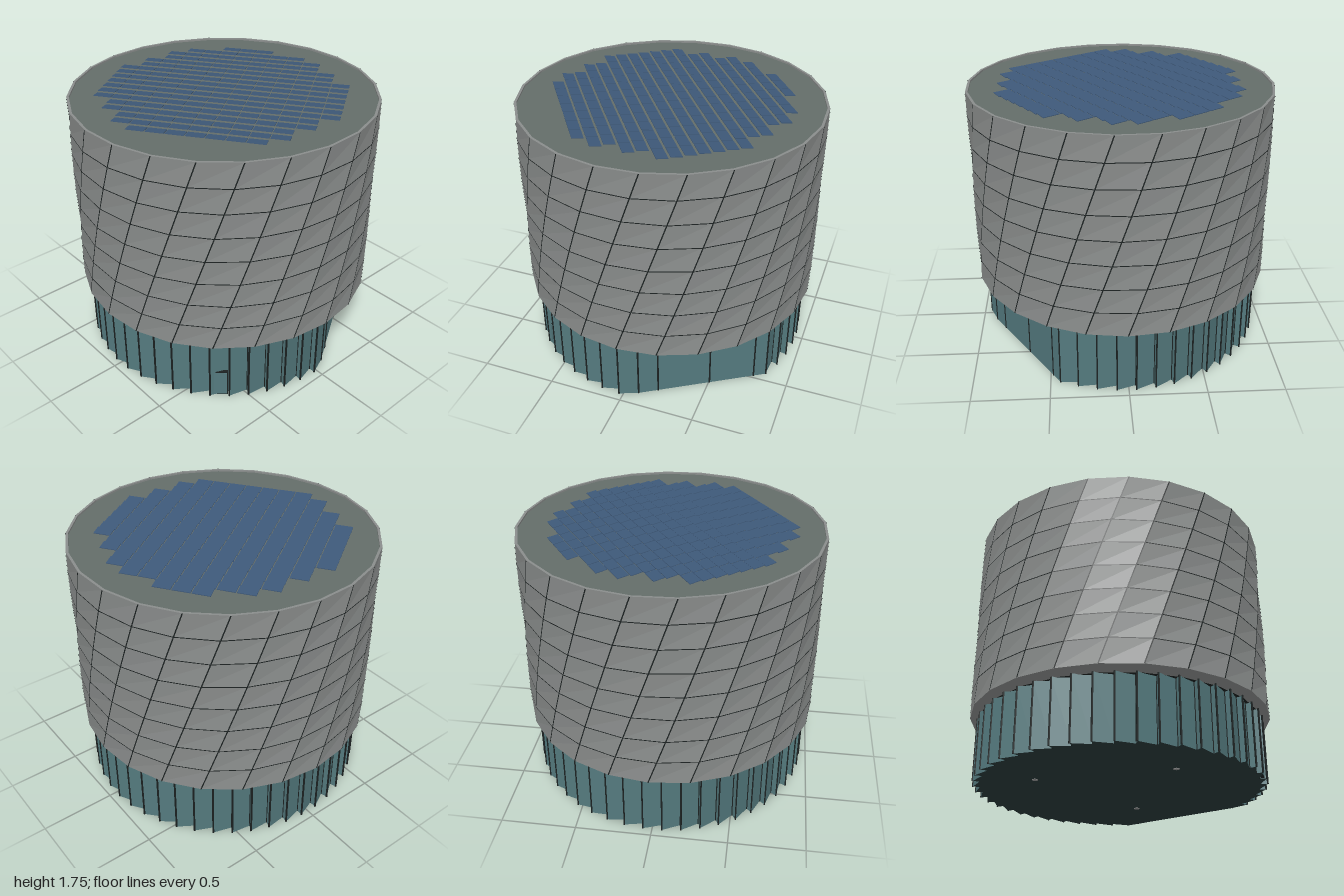
import * as THREE from 'three';

const SIDES = 24, ROWS = 8, Y0 = 0.445, Y1 = 1.745;
const TWIST = THREE.MathUtils.degToRad(25.4);
const START = THREE.MathUtils.degToRad(-0.6);
const STEP = (Math.PI * 2) / SIDES;

const paint = (color, side = THREE.FrontSide) =>
  new THREE.MeshStandardMaterial({ color, side, flatShading: true });

// Point at angle a (measured from the front, +z, towards +x)
const polar = (a, r, y) => [Math.sin(a) * r, y, Math.cos(a) * r];

// Ring of the drum at row j: every row is turned a little further
function drumRing(j, r, dy = 0) {
  const y = Y0 + ((Y1 - Y0) * j) / ROWS + dy;
  const turn = START + (TWIST * j) / ROWS;
  return Array.from({ length: SIDES + 1 }, (_, i) => polar(turn + i * STEP, r, y));
}

// Flat-faced skin through a list of equal-length cross-sections
function loft(rings) {
  const pos = [];
  for (let j = 0; j < rings.length - 1; j++) {
    const lo = rings[j], hi = rings[j + 1];
    for (let i = 0; i < lo.length - 1; i++) {
      pos.push(...lo[i], ...lo[i + 1], ...hi[i + 1], ...lo[i], ...hi[i + 1], ...hi[i]);
    }
  }
  const g = new THREE.BufferGeometry();
  g.setAttribute('position', new THREE.Float32BufferAttribute(pos, 3));
  g.computeVertexNormals();
  return g;
}

export function createModel() {
  const model = new THREE.Group();
  model.name = 'roundBuilding';
  const wall = paint(0x8a8d8c), dark = paint(0x1c2222, THREE.DoubleSide);
  const roofMat = paint(0x646d69), solar = paint(0x3d5878);
  const glass = paint(0x547a7e), floorMat = paint(0x2a3a3b), spot = paint(0x999999);

  const add = (name, geometry, material, parent = model) => {
    const mesh = new THREE.Mesh(geometry, material);
    mesh.name = name;
    parent.add(mesh);
    return mesh;
  };
  const group = (name) => {
    const g = new THREE.Group();
    g.name = name;
    model.add(g);
    return g;
  };

  // Twisted faceted drum
  const rows = Array.from({ length: ROWS + 1 }, (_, j) => drumRing(j, 0.999));
  add('drumWall', loft(rows), wall);

  // Parapet top, its inner face, and the roof deck
  const deck = drumRing(ROWS, 0.983, -0.012);
  add('parapet', loft([rows[ROWS], drumRing(ROWS, 0.983), deck]), wall);
  add('roof', loft([deck, deck.map(() => [0, Y1 - 0.012, 0])]), roofMat);

  // Bevelled underside
  const sill = drumRing(0, 0.94, -0.03);
  add('drumBevel', loft([sill, rows[0]]), wall);
  add('soffit', loft([sill.map(() => [0, Y0 - 0.03, 0]), sill]), dark);

  // Slanted and level panel joints
  const joints = group('panelJoints');
  for (let i = 0; i < SIDES; i++) {
    const strip = rows.map((ring, j) => {
      const a = START + (TWIST * j) / ROWS + i * STEP;
      return [polar(a - 0.004, 1.001, ring[0][1]), polar(a + 0.004, 1.001, ring[0][1])];
    });
    add('slantedJoint', loft(strip), dark, joints);
  }
  for (let j = 1; j < ROWS; j++) {
    add('levelJoint', loft([drumRing(j, 1.001, -0.003), drumRing(j, 1.001, 0.003)]), dark, joints);
  }

  // Pleated glass base with one straight facade at the back right
  const A = THREE.MathUtils.degToRad(152.6), B = THREE.MathUtils.degToRad(456);
  const PLEATS = 40, BASE_H = 0.42;
  const outline = [];
  for (let k = 0; k < PLEATS; k++) {
    const a0 = A + ((B - A) * k) / PLEATS, a1 = A + ((B - A) * (k + 1)) / PLEATS;
    outline.push(polar(a0, 0.95, 0), polar(a1, 0.905, 0));
  }
  const shape = new THREE.Shape(outline.map(([x, , z]) => new THREE.Vector2(x, -z)));
  const baseGeo = new THREE.ExtrudeGeometry(shape, { depth: BASE_H, bevelEnabled: false });
  baseGeo.rotateX(-Math.PI / 2);
  add('glassBase', baseGeo, [floorMat, glass]);

  // Mullions on the pleats and along the straight facade
  const mullions = group('mullions');
  const mullionGeo = new THREE.BoxGeometry(0.009, BASE_H, 0.009);
  const mullion = ([x, , z]) =>
    add('mullion', mullionGeo, dark, mullions).position.set(x, BASE_H / 2, z);
  outline.forEach(mullion);
  const first = outline[0], last = outline[outline.length - 1];
  for (const t of [0.15, 0.55, 0.9]) {
    mullion([last[0] + (first[0] - last[0]) * t, 0, last[2] + (first[2] - last[2]) * t]);
  }

  // Entrance door: dark frame with a glass leaf
  const door = group('door');
  const doorAngle = THREE.MathUtils.degToRad(47);
  door.position.set(...polar(doorAngle, 0.925, 0.097));
  door.rotation.y = doorAngle;
  add('doorFrame', new THREE.BoxGeometry(0.1, 0.19, 0.02), dark, door);
  add('doorLeaf', new THREE.BoxGeometry(0.088, 0.178, 0.026), glass, door);

  // Small round plates under the floor
  for (const [x, z] of [[0.29, -0.37], [0.13, 0.55], [-0.58, 0]]) {
    add('floorPlate', new THREE.CylinderGeometry(0.02, 0.02, 0.006, 16), spot).position.set(x, 0, z);
  }

  // Tilted solar panels on a turned grid, trimmed to a circle
  const array = group('solarPanels');
  array.position.y = Y1 - 0.002;
  array.rotation.y = THREE.MathUtils.degToRad(34.6);
  const panelGeo = new THREE.BoxGeometry(0.113, 0.004, 0.072);
  const COL = 0.12, ROW = 0.083;
  for (let r = 0; r < 18; r++) {
    const v = -0.74 + r * ROW;
    for (let c = -6; c <= 6; c++) {
      const reach = Math.hypot(Math.abs(c * COL) + COL / 2, Math.abs(v) + ROW / 2);
      if (reach > 0.835) continue;
      const p = add('solarPanel', panelGeo, solar, array);
      p.position.set(c * COL, 0, v);
      p.rotation.x = -0.13;
    }
  }
  return model;
}
